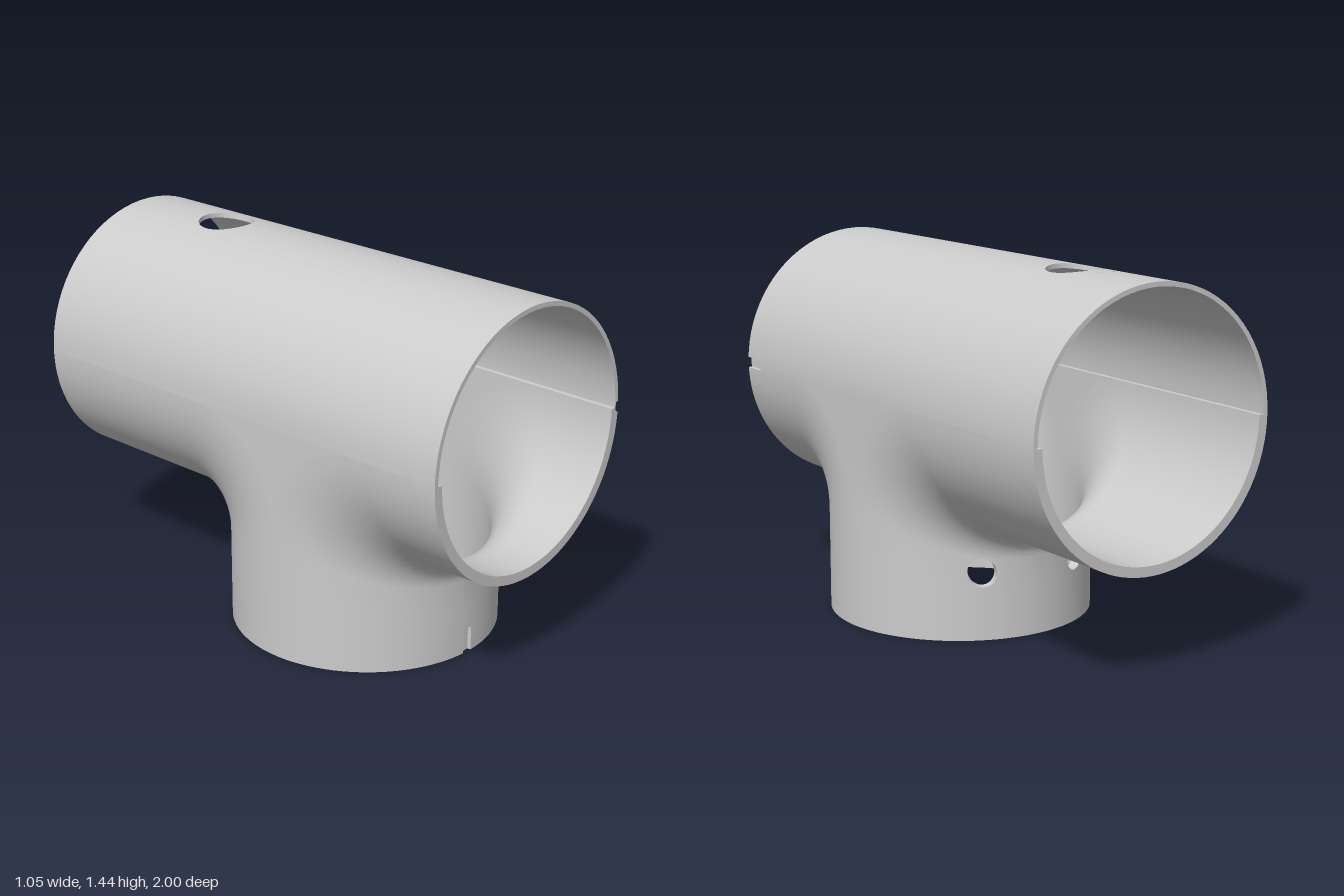
import * as THREE from 'three';
import { toCreasedNormals } from 'three/addons/utils/BufferGeometryUtils.js';

const H = 0.92, ZC = 0.215;              // height of the main axis, z of the branch axis
const RO = 0.523, RI = 0.485, RU = 0.505; // outer, lower inner and upper inner radius
const Q = Math.PI / 2, GROOVE = 0.014;

// Sorted parameter values: an even spread plus exact break points
function values(a, b, n, extra = []) {
  const list = [...extra];
  for (let i = 0; i <= n; i++) {
    const t = a + (b - a) * i / n;
    if (!extra.some(e => Math.abs(e - t) < 1e-3)) list.push(t);
  }
  return list.sort((p, q) => p - q);
}

// Collects triangles for one part
class Part {
  constructor() { this.pos = []; }
  quad(a, b, c, d, flip) {
    const order = flip ? [a, c, b, a, d, c] : [a, b, c, a, c, d];
    for (const p of order) this.pos.push(...p);
  }
  strip(f, g, list, flip) {
    for (let i = 0; i + 1 < list.length; i++) {
      this.quad(f(list[i]), f(list[i + 1]), g(list[i + 1]), g(list[i]), flip);
    }
  }
  // Surface over (u, v), leaving round holes framed by a ring of quads
  grid(f, us, vs, flip, holes = []) {
    for (let i = 0; i + 1 < us.length; i++) {
      for (let j = 0; j + 1 < vs.length; j++) {
        const mu = (us[i] + us[i + 1]) / 2, mv = (vs[j] + vs[j + 1]) / 2;
        if (holes.some(h => Math.abs(mu - h.u) < h.hu && Math.abs(mv - h.v) < h.hv)) continue;
        this.quad(f(us[i], vs[j]), f(us[i + 1], vs[j]), f(us[i + 1], vs[j + 1]), f(us[i], vs[j + 1]), flip);
      }
    }
    for (const h of holes) {
      const at = (a, t) => {
        const c = Math.cos(a), s = Math.sin(a), m = Math.max(Math.abs(c), Math.abs(s));
        return f(h.u + c * (h.ru + t * (h.hu / m - h.ru)), h.v + s * (h.rv + t * (h.hv / m - h.rv)));
      };
      const angles = values(0, 2 * Math.PI, 40);
      for (let k = 0; k < 3; k++) {
        this.strip(a => at(a, k / 3), a => at(a, (k + 1) / 3), angles, !flip);
      }
    }
  }
  mesh(name) {
    const geo = new THREE.BufferGeometry();
    geo.setAttribute('position', new THREE.Float32BufferAttribute(this.pos, 3));
    const material = new THREE.MeshStandardMaterial({ color: 0xcccccc, side: THREE.DoubleSide });
    const mesh = new THREE.Mesh(toCreasedNormals(geo, 0.6), material);
    mesh.name = name;
    return mesh;
  }
}

// Lower half of the tee: v 0-1 up the branch, 1-2 round the fillet, 2-3 along the main pipe
function tee(radius, side, grooved) {
  return (u, v) => {
    let r = radius;
    if (grooved && side > 0) {
      if (Math.abs(u) < 0.04 && v < 0.32) r -= GROOVE;
      if (u > Q - 0.04 && v > 2.72) r -= GROOVE;
    }
    const c = Math.cos(u), g = 0.42 + 0.19 * c, d = g - r * c;
    const end = 1 - side * ZC;
    let y = H - r * c, z = r * c;
    if (v <= 1) y = v * (H - g);
    else if (v <= 2) {
      const a = (v - 1) * Q;
      y = H - g + d * Math.sin(a);
      z += d * (1 - Math.cos(a));
    } else z = g + (v - 2) * (end - g);
    return [r * Math.sin(u), y, ZC + side * z];
  };
}

// Upper half of the main pipe: u is the angle from the top, v is z
function arch(radius, grooved) {
  return (u, v) => {
    const r = grooved && u > Q - 0.04 && v > 0.9 ? radius - GROOVE : radius;
    return [r * Math.sin(u), H + r * Math.cos(u), v];
  };
}

export function createModel() {
  const group = new THREE.Group();
  group.name = 'pipeTee';
  const outer = new Part(), inner = new Part(), rims = new Part(), holeWalls = new Part();

  // Drilled holes: one on top, two at the back of the branch
  const topHole = { u: 0, v: -0.535, hu: 0.3, hv: 0.16, ru: 0.21, rv: 0.11 };
  const backHoles = [-0.433, 0.433].map(u => ({ u, v: 0.815, hu: 0.16, hv: 0.185, ru: 0.109, rv: 0.174 }));

  const archU = values(-Q, Q, 40, [-0.3, 0.3, Q - 0.041, Q - 0.039]);
  const archV = values(-1, 1, 12, [-0.695, -0.375, 0.899, 0.901]);
  const teeU = {
    1: values(-Q, Q, 48, [-0.041, -0.039, 0.039, 0.041, Q - 0.041, Q - 0.039]),
    [-1]: values(-Q, Q, 48, backHoles.flatMap(h => [h.u - h.hu, h.u + h.hu])),
  };
  const teeV = [0, 0.319, 0.321, 0.63, ...values(1, 2, 14), 2.35, 2.719, 2.721, 3];

  // Outer and inner skins of the upper half
  outer.grid(arch(RO, true), archU, archV, true, [topHole]);
  inner.grid(arch(RU), archU, archV, false, [topHole]);

  // Outer and inner skins of the branch and lower half, with the fillet between
  for (const side of [1, -1]) {
    const holes = side < 0 ? backHoles : [];
    const out = tee(RO, side, true), inn = tee(RI, side);
    outer.grid(out, teeU[side], teeV, side < 0, holes);
    inner.grid(inn, teeU[side], teeV, side > 0, holes);

    // Flat cheeks where the fillets run out at the sides
    for (const sx of [1, -1]) {
      for (const [part, f, r, turn] of [[outer, out, RO, 1], [inner, inn, RI, -1]]) {
        part.strip(v => f(sx * Q, v), () => [sx * r, H, ZC], values(1, 2, 14), sx * side * turn < 0);
      }
    }

    // Rims of the branch and of both ends of the main pipe
    rims.strip(u => out(u, 0), u => inn(u, 0), teeU[side], side < 0);
    rims.strip(u => out(u, 3), u => inn(u, 3), teeU[side], side < 0);
    const top = arch(RO, true), under = arch(RU);
    rims.strip(u => top(u, side), u => under(u, side), archU, side > 0);
  }

  // Ledges where the thicker lower wall begins
  for (const sx of [1, -1]) {
    rims.strip(z => [sx * RI, H, z], z => [sx * RU, H, z], [-1, 1], sx < 0);
  }

  // Walls of the drilled holes
  const drill = (f, g, h, flip) => {
    const on = k => a => k(h.u + h.ru * Math.cos(a), h.v + h.rv * Math.sin(a));
    holeWalls.strip(on(f), on(g), values(0, 2 * Math.PI, 40), flip);
  };
  drill(arch(RO), arch(RU), topHole, true);
  for (const h of backHoles) drill(tee(RO, -1), tee(RI, -1), h, true);

  group.add(outer.mesh('outerWall'), inner.mesh('innerWall'), rims.mesh('rims'), holeWalls.mesh('holeWalls'));
  return group;
}
